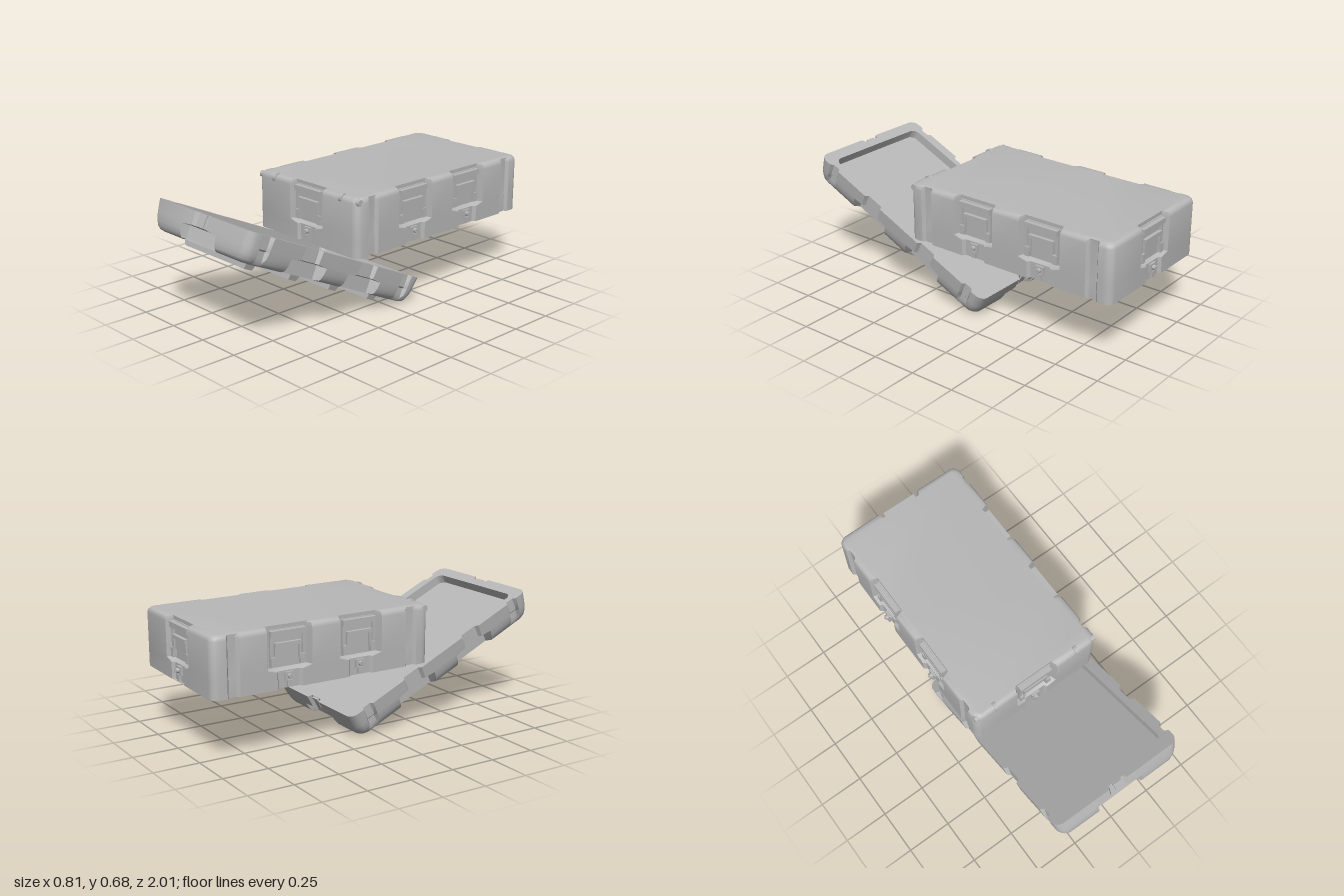
import * as THREE from 'three';
import { toCreasedNormals } from 'three/addons/utils/BufferGeometryUtils.js';

const shellGrey = new THREE.MeshStandardMaterial({ color: 0xb8b8b8 });
shellGrey.name = 'shellGrey';

function mesh(name, geometry, x = 0, y = 0, z = 0) {
  const m = new THREE.Mesh(geometry, shellGrey);
  m.name = name;
  m.position.set(x, y, z);
  return m;
}
const box = (name, w, h, d, x, y, z) => mesh(name, new THREE.BoxGeometry(w, h, d), x, y, z);

// Rounded rectangle with recesses. Each recess: c centre, w half width, p plane it is cut back to.
function outline({ hx, hz, r, side = [9, 0.06], end = [9, 0.06], groove = 9 }) {
  const pts = [];
  const sideCuts = [
    { c: 0.525, w: 0.022, p: groove }, { c: 0.21, w: side[1], p: side[0] },
    { c: -0.21, w: side[1], p: side[0] }, { c: -0.525, w: 0.022, p: groove },
  ];
  const endCuts = [{ c: 0, w: end[1], p: end[0] }];
  for (let k = 0; k < 4; k++) {
    // each edge runs from +half to -half in its own frame
    const isSide = k % 2 === 0;
    const out = isSide ? hx : hz, half = isSide ? hz : hx;
    const edge = [];
    for (const { c, w, p } of isSide ? sideCuts : endCuts) {
      const q = Math.min(out, p), ch = 0.013;
      edge.push([out, c + w + ch], [q, c + w], [q, c - w], [out, c - w - ch]);
    }
    for (let i = 0; i <= 6; i++) {
      const a = (i / 6) * Math.PI / 2;
      edge.push([out - r + r * Math.cos(a), -(half - r) - r * Math.sin(a)]);
    }
    edge.pop(); // shared with the next edge
    for (const [u, v] of edge) {
      pts.push([[u, v], [v, -u], [-u, -v], [-v, u]][k]);
    }
  }
  return pts;
}

// Skin through outlines; the first is capped facing up and the last facing down.
function loft(levels, crease = 0.6) {
  const loops = levels.map((l) => outline(l).map(([x, z]) => [x, l.y, z]));
  const pos = [], n = loops[0].length;
  for (let j = 0; j + 1 < loops.length; j++) {
    const a = loops[j], b = loops[j + 1];
    for (let i = 0; i < n; i++) {
      const k = (i + 1) % n;
      pos.push(...b[i], ...b[k], ...a[k], ...b[i], ...a[k], ...a[i]);
    }
  }
  const cap = (loop, flip) => {
    const flat = loop.map((p) => new THREE.Vector2(p[0], -p[2]));
    for (const [a, b, c] of THREE.ShapeUtils.triangulateShape(flat, [])) {
      for (const i of flip ? [a, c, b] : [a, b, c]) pos.push(...loop[i]);
    }
  };
  cap(loops[0], false);
  cap(loops[loops.length - 1], true);
  const g = new THREE.BufferGeometry();
  g.setAttribute('position', new THREE.Float32BufferAttribute(pos, 3));
  return toCreasedNormals(g, crease);
}

// Folding carry handle on its backing frame, facing +z
function makeHandle() {
  const g = new THREE.Group();
  g.name = 'carryHandle';
  g.add(box('backPlate', 0.21, 0.195, 0.008, 0, 0, 0.004));
  g.add(box('topHood', 0.2, 0.03, 0.034, 0, 0.08, 0.017));
  g.add(box('gripBar', 0.15, 0.02, 0.02, 0, 0.022, 0.022));
  g.add(box('gripFlap', 0.12, 0.06, 0.008, 0, -0.015, 0.016));
  for (const s of [-1, 1]) {
    g.add(box('sideRail', 0.014, 0.15, 0.022, s * 0.093, -0.005, 0.011));
    g.add(box('handleArm', 0.012, 0.085, 0.014, s * 0.07, -0.02, 0.02));
    g.add(box('pivotFoot', 0.028, 0.05, 0.03, s * 0.085, -0.065, 0.015));
  }
  return g;
}

// Twist latch, facing +z
function makeLatch() {
  const g = new THREE.Group();
  g.name = 'latch';
  g.add(box('latchPlate', 0.05, 0.045, 0.012, 0, 0.01, 0.006));
  g.add(box('latchHook', 0.028, 0.035, 0.014, 0, -0.025, 0.01));
  const hub = mesh('latchKnob', new THREE.CylinderGeometry(0.013, 0.013, 0.022, 14), 0, 0.012, 0.017);
  hub.rotation.x = Math.PI / 2;
  g.add(hub, box('latchKey', 0.006, 0.022, 0.008, 0, 0.012, 0.03));
  return g;
}

function makeBody() {
  const body = new THREE.Group();
  body.name = 'caseBody';
  body.position.z = -0.345;
  const upper = { side: [0.345, 0.115], end: [0.6, 0.115], groove: 0.372 };
  const lower = { side: [0.372, 0.06], end: [0.624, 0.06], groove: 0.374 };
  const inside = (hx, hz, y, r) => ({ hx, hz, y, r });
  const shell = loft([
    { hx: 0.362, hz: 0.612, r: 0.03, y: 0.68, ...upper },
    { hx: 0.377, hz: 0.627, r: 0.04, y: 0.676, ...upper },
    { hx: 0.386, hz: 0.636, r: 0.045, y: 0.667, ...upper },
    { hx: 0.39, hz: 0.64, r: 0.045, y: 0.652, ...upper },
    { hx: 0.39, hz: 0.64, r: 0.045, y: 0.465, ...upper },
    { hx: 0.39, hz: 0.64, r: 0.045, y: 0.45, ...lower },
    { hx: 0.39, hz: 0.64, r: 0.045, y: 0.36, ...lower },
    inside(0.37, 0.62, 0.36, 0.05),
    inside(0.337, 0.587, 0.44, 0.06),
    inside(0.33, 0.58, 0.6, 0.07),
  ]);
  body.add(mesh('bodyShell', shell));

  // handles and latches on both sides and both ends
  const mount = (make, x, y, z, turn) => {
    const part = make();
    part.position.set(x, y, z);
    part.rotation.y = turn;
    body.add(part);
  };
  for (const s of [-1, 1]) {
    for (const z of [-0.21, 0.21]) {
      mount(makeHandle, s * 0.345, 0.563, z, s * Math.PI / 2);
      mount(makeLatch, s * 0.372, 0.41, z, s * Math.PI / 2);
    }
    const turn = s > 0 ? 0 : Math.PI;
    mount(makeHandle, 0, 0.563, s * 0.6, turn);
    mount(makeLatch, 0, 0.41, s * 0.624, turn);

    // hinge knuckles and pin ends along the front top edge
    const knuckle = mesh('hingeKnuckle', new THREE.CylinderGeometry(0.026, 0.026, 0.022, 20), s * 0.26, 0.659, 0.617);
    const pin = mesh('hingePinEnd', new THREE.CylinderGeometry(0.018, 0.018, 0.03, 20), s * 0.372, 0.657, 0.615);
    knuckle.rotation.z = pin.rotation.z = Math.PI / 2;
    body.add(knuckle, pin);
  }
  return body;
}

function makeLid() {
  const lid = new THREE.Group();
  lid.name = 'lid';
  lid.position.set(0, 0.4, 0.39);
  lid.rotation.x = -0.436;
  const upper = { side: [0.366, 0.05], end: [0.618, 0.045], groove: 0.368 };
  const lower = { side: [0.315, 0.115], end: [0.585, 0.125], groove: 0.36 };
  const shell = loft([
    { hx: 0.33, hz: 0.574, r: 0.04, y: -0.05 },
    { hx: 0.33, hz: 0.574, r: 0.04, y: 0 },
    { hx: 0.388, hz: 0.64, r: 0.05, y: 0, ...upper },
    { hx: 0.381, hz: 0.635, r: 0.055, y: -0.07, ...upper },
    { hx: 0.38, hz: 0.634, r: 0.055, y: -0.078, ...lower },
    { hx: 0.374, hz: 0.628, r: 0.055, y: -0.11, ...lower },
    { hx: 0.364, hz: 0.62, r: 0.055, y: -0.135, ...lower },
    { hx: 0.352, hz: 0.608, r: 0.05, y: -0.149, ...lower },
    { hx: 0.334, hz: 0.59, r: 0.04, y: -0.155, ...lower },
  ]);
  lid.add(mesh('lidShell', shell));

  // tapered stacking ribs across the outside
  for (const z of [-0.46, -0.15, 0.15, 0.46]) {
    const g = new THREE.BoxGeometry(0.51, 0.045, 0.07);
    const p = g.attributes.position;
    for (let i = 0; i < p.count; i++) {
      if (p.getY(i) < 0) p.setXYZ(i, p.getX(i) * 0.93, p.getY(i), p.getZ(i) * 0.75);
    }
    g.computeVertexNormals();
    lid.add(mesh('stackingRib', g, 0, -0.168, z));
  }

  // catch plates in the end recesses
  for (const s of [-1, 1]) {
    lid.add(box('catchPlate', 0.036, 0.06, 0.008, 0, -0.036, s * 0.621));
    lid.add(box('catchLip', 0.052, 0.014, 0.014, 0, -0.008, s * 0.623));
  }
  return lid;
}

export function createModel() {
  const model = new THREE.Group();
  model.name = 'openTransitCase';
  model.add(makeBody(), makeLid());
  return model;
}
